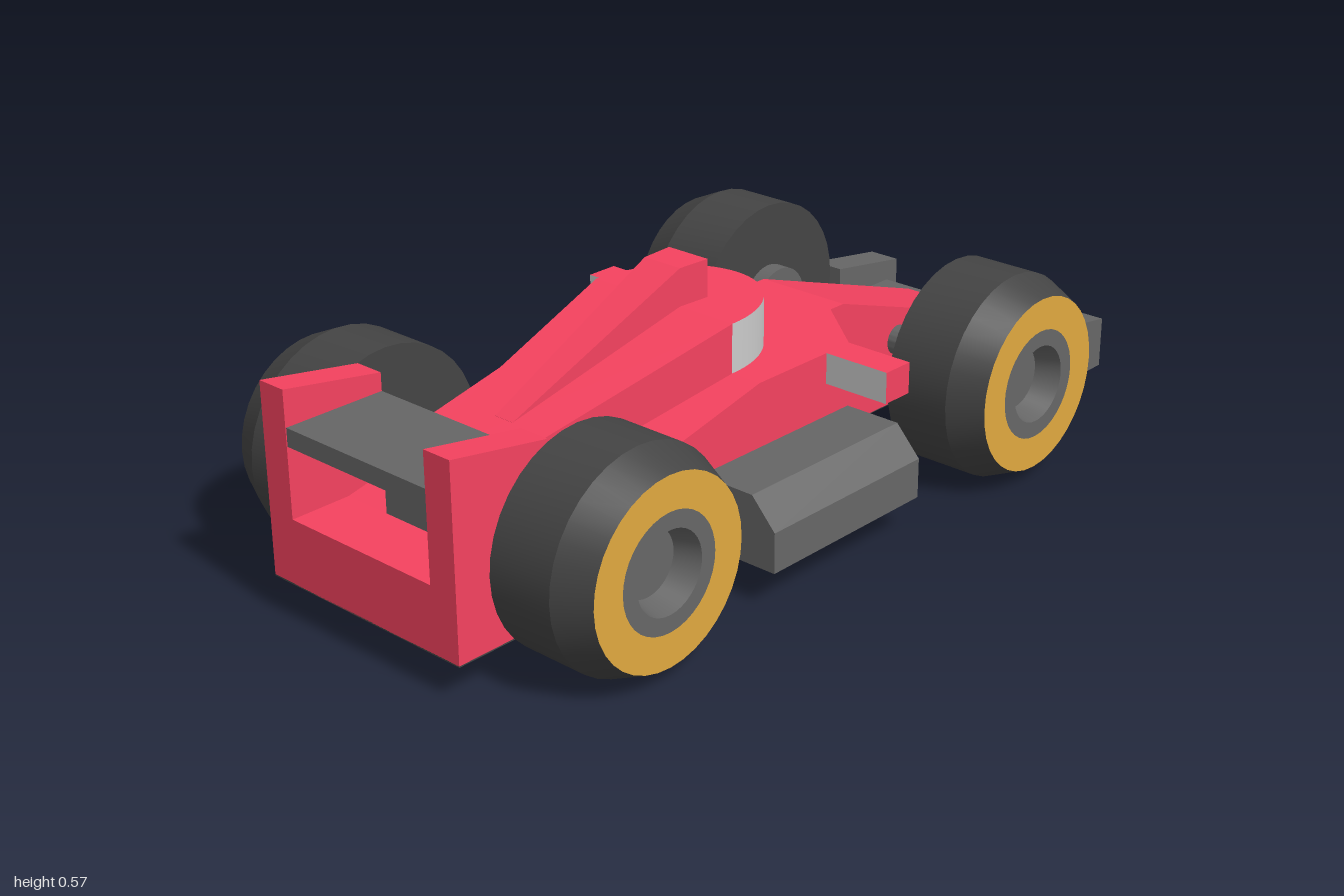
import * as THREE from 'three';
import { toCreasedNormals } from 'three/addons/utils/BufferGeometryUtils.js';

const mat = (color) => new THREE.MeshStandardMaterial({ color });

export function createModel() {
  const car = new THREE.Group();
  car.name = 'raceCar';
  const red = mat(0xf5425f), grey = mat(0x666666), dark = mat(0x444444);
  const tyreGrey = mat(0x444444), gold = mat(0xe0a840), pale = mat(0xcccccc);

  const add = (name, geometry, material, parent = car) => {
    const mesh = new THREE.Mesh(geometry, material);
    mesh.name = name;
    parent.add(mesh);
    return mesh;
  };

  // Side profile of [z, y] points, extruded from x0 to x1
  const sidePrism = (points, x0, x1) => {
    const shape = new THREE.Shape(points.map((p) => new THREE.Vector2(...p)));
    return new THREE.ExtrudeGeometry(shape, { depth: x1 - x0, bevelEnabled: false })
      .rotateY(-Math.PI / 2).translate(x1, 0, 0);
  };

  // Six-sided block whose two ends are each [z, halfWidth, bottom, top]
  const taper = (a, b) => {
    const g = new THREE.BoxGeometry(1, 1, 1).toNonIndexed();
    const p = g.attributes.position;
    for (let i = 0; i < p.count; i++) {
      const [z, w, y0, y1] = p.getZ(i) < 0 ? a : b;
      p.setXYZ(i, Math.sign(p.getX(i)) * w, p.getY(i) < 0 ? y0 : y1, z);
    }
    g.computeVertexNormals();
    return g;
  };
  const box = (x0, x1, y0, y1, z0, z1) => new THREE.BoxGeometry(x1 - x0, y1 - y0, z1 - z0)
    .translate((x0 + x1) / 2, (y0 + y1) / 2, (z0 + z1) / 2);

  // Body: main tub, widening shoulders with dark air inlets, and nose
  add('mainBody', sidePrism([[-0.13, 0.08], [1, 0.08], [1, 0.225], [0.86, 0.225],
    [0.16, 0.38], [-0.13, 0.38]], -0.27, 0.27), red);
  add('shoulders', taper([-0.255, 0.117, 0.08, 0.38], [-0.13, 0.27, 0.08, 0.38]),
    [dark, dark, red, red, red, red]);
  add('nose', sidePrism([[-0.85, 0.08], [-0.255, 0.08], [-0.255, 0.38], [-0.3, 0.38],
    [-0.85, 0.2]], -0.117, 0.117), red);

  // Dark underside
  const plan = [[0.117, -0.85], [0.117, -0.255], [0.27, -0.13], [0.27, 1]];
  const outline = [...plan, ...plan.map(([x, z]) => [-x, z]).reverse()];
  const floorShape = new THREE.Shape(outline.map((p) => new THREE.Vector2(...p)));
  add('floor', new THREE.ExtrudeGeometry(floorShape, { depth: 0.003, bevelEnabled: false })
    .rotateX(Math.PI / 2).translate(0, 0.081, 0), dark);

  // Cockpit: rounded windscreen with red lid, then the tapering engine cover
  const screen = new THREE.CylinderGeometry(0.195, 0.195, 0.11, 32, 1, false, Math.PI / 2, Math.PI);
  add('windscreen', screen.scale(1, 1, 1.2).translate(0, 0.435, 0.16), [pale, red, red]);
  add('engineCover', taper([0.16, 0.195, 0.38, 0.49], [0.86, 0.085, 0.22, 0.31]),
    [red, red, red, red, grey, red]);

  // Air intake above the cockpit
  add('airIntake', taper([0.08, 0.055, 0.48, 0.575], [0.16, 0.05, 0.48, 0.575]),
    [red, red, red, red, red, grey]);
  add('airIntakeSpine', taper([0.16, 0.05, 0.48, 0.575], [0.62, 0.025, 0.36, 0.372]), red);

  // Wings
  add('rearWing', box(-0.2, 0.2, 0.38, 0.42, 0.76, 0.998), grey);
  add('frontWing', box(-0.27, 0.27, 0.08, 0.155, -0.96, -0.85), grey);

  // Wheel parts, turned around the x axis; points are [radius, x]
  const turned = (points) => toCreasedNormals(
    new THREE.LatheGeometry(points.map((p) => new THREE.Vector2(...p)), 36)
      .rotateZ(-Math.PI / 2), 0.4);
  const tyre = turned([[0, 0.274], [0.235, 0.274], [0.235, 0.43], [0.2, 0.508]]);
  const ring = turned([[0.2, 0.508], [0.125, 0.508]]);
  const rim = turned([[0.125, 0.508], [0.088, 0.508], [0.072, 0.45], [0, 0.45]]);
  const hub = turned([[0, 0.235], [0.085, 0.235], [0.085, 0.276]]);
  const axle = turned([[0.035, 0.05], [0.035, 0.24]]);

  for (const [side, s] of [['left', 1], ['right', -1]]) {
    const span = (a, b) => (s > 0 ? [a, b] : [-b, -a]);

    for (const [end, z] of [['Front', -0.5], ['Rear', 0.685]]) {
      const wheel = new THREE.Group();
      wheel.name = side + end + 'Wheel';
      wheel.position.set(0, 0.235, z);
      wheel.rotation.y = s > 0 ? 0 : Math.PI;
      add('tyre', tyre, tyreGrey, wheel);
      add('sidewallRing', ring, gold, wheel);
      add('rim', rim, grey, wheel);
      add('hub', hub, grey, wheel);
      add('axle', axle, grey, wheel);
      car.add(wheel);
    }

    // Upright plates at the ends of both wings
    add(side + 'RearEndPlate', sidePrism([[0.76, 0.2], [1, 0.2], [1, 0.5], [0.76, 0.46]],
      ...span(0.2, 0.27)), red);
    add(side + 'FrontEndPlate', sidePrism([[-1, 0.08], [-0.77, 0.08], [-0.77, 0.235], [-1, 0.2]],
      ...span(0.27, 0.35)), grey);

    // Mirror arm with pale glass facing the tail
    add(side + 'Mirror', box(...span(0.265, 0.43), 0.31, 0.38, -0.132, -0.055),
      [red, red, red, red, pale, red]);

    // Side pod with a chamfered outer edge
    const pod = [[0.26, 0.08], [0.465, 0.08], [0.465, 0.17], [0.405, 0.235], [0.26, 0.235]];
    const podShape = new THREE.Shape(pod.map(([x, y]) => new THREE.Vector2(s * x, y)));
    add(side + 'SidePod', new THREE.ExtrudeGeometry(podShape, { depth: 0.467, bevelEnabled: false })
      .translate(0, 0, -0.13), grey);
  }
  return car;
}
